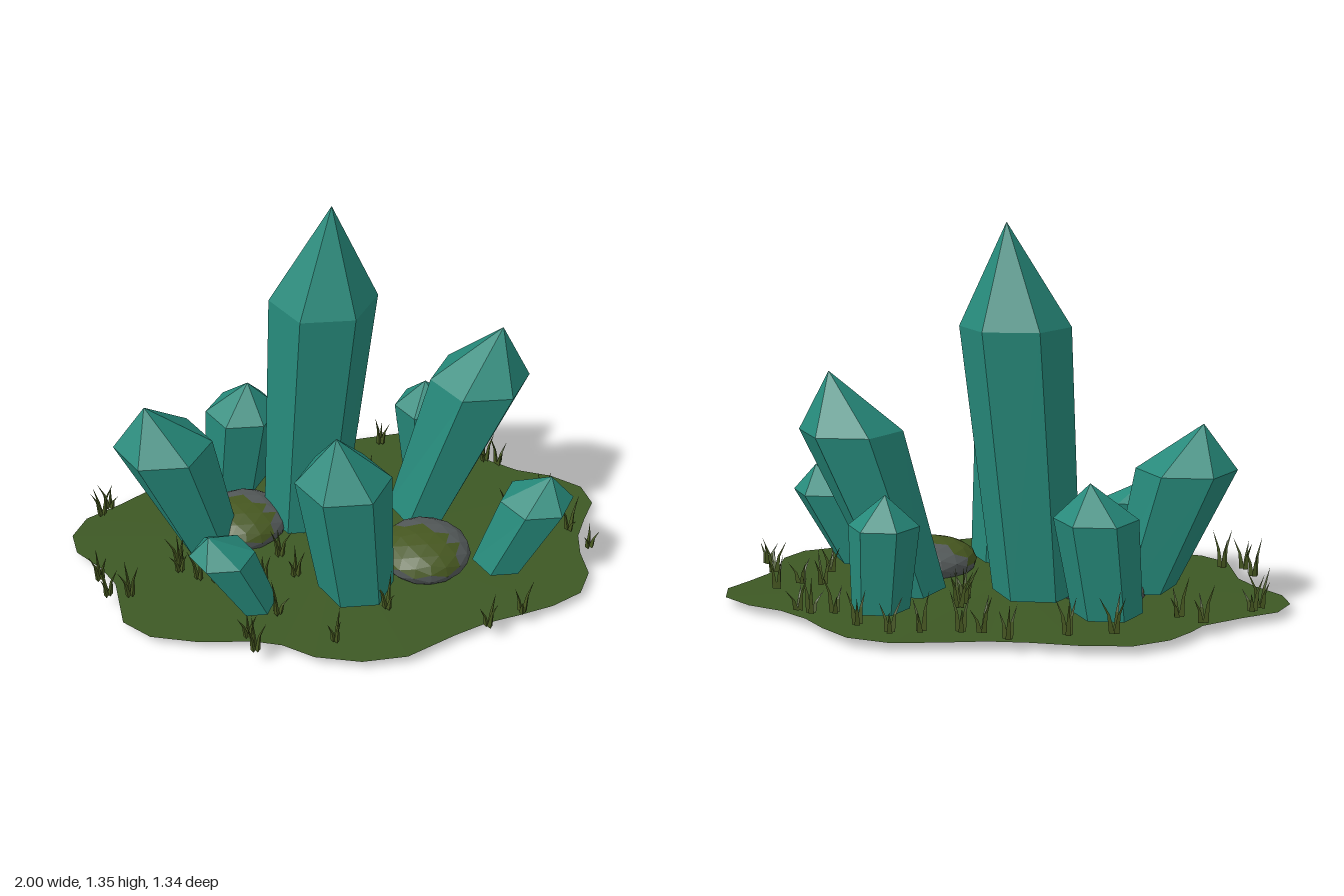
import * as THREE from 'three';
import { mergeGeometries } from 'three/addons/utils/BufferGeometryUtils.js';

const mat = (name, color) => {
  const m = new THREE.MeshStandardMaterial({ color });
  m.name = name;
  return m;
};

// Separate faces so each one shades flat
function faceted(geo) {
  const g = geo.index ? geo.toNonIndexed() : geo;
  g.computeVertexNormals();
  return g;
}

function mesh(name, geo, material) {
  const m = new THREE.Mesh(geo, material);
  m.name = name;
  return m;
}

// Ground outline as x, z pairs, in order around the rim
const OUTLINE = [
  -.46, -.63, -.29, -.64, -.13, -.625, .01, -.625, .16, -.65, .32, -.67, .47, -.63, .57, -.54,
  .645, -.45, .75, -.37, .875, -.32, .98, -.235, 1, -.13, .945, -.03, .90, .065, .885, .165,
  .89, .28, .835, .385, .72, .445, .595, .48, .47, .51, .35, .56, .17, .65, .01, .66,
  -.15, .62, -.255, .55, -.355, .52, -.54, .505, -.71, .46, -.805, .375, -.82, .27, -.835, .165,
  -.89, .07, -.98, -.03, -1, -.13, -.95, -.23, -.825, -.305, -.69, -.40, -.65, -.47, -.58, -.56];

// Shallow mound with a flat underside
function groundGeometry() {
  const pos = [];
  const n = OUTLINE.length / 2;
  for (let i = 0; i < n; i++) {
    const j = (i + 1) % n;
    const a = [OUTLINE[2 * i], .033, OUTLINE[2 * i + 1]];
    const b = [OUTLINE[2 * j], .033, OUTLINE[2 * j + 1]];
    pos.push(0, .055, 0, ...b, ...a, 0, .031, 0, ...a, ...b);
  }
  const g = new THREE.BufferGeometry();
  g.setAttribute('position', new THREE.Float32BufferAttribute(pos, 3));
  return faceted(g);
}

// Six-sided crystal: narrow base, wider shoulder, pointed tip, leaning along x
function crystalGeometry({ z, r, base, baseR, shoulder, tip }) {
  const g = new THREE.CylinderGeometry(0, 1, 1, 6, 2, false, Math.PI / 6);
  const p = g.attributes.position;
  for (let i = 0; i < p.count; i++) {
    const x = p.getX(i), y = p.getY(i), w = p.getZ(i);
    if (y > .25) p.setXYZ(i, tip[0], tip[1], z);
    else if (y > -.25) p.setXYZ(i, shoulder[0] + x * 2 * r, shoulder[1], z + w * 2 * r);
    else p.setXYZ(i, base + x * baseR, .068, z + w * r * .86);
  }
  return faceted(g);
}

const CRYSTALS = [
  { name: 'mainCrystal', z: -.16, r: .193, base: -.115, baseR: .155, shoulder: [-.04, 1], tip: [-.01, 1.355] },
  { name: 'rightLeaningCrystal', z: -.16, r: .184, base: .325, baseR: .12, shoulder: [.535, .63], tip: [.61, .837] },
  { name: 'leftLeaningCrystal', z: -.05, r: .178, base: -.49, baseR: .115, shoulder: [-.633, .49], tip: [-.69, .652] },
  { name: 'frontCrystal', z: .29, r: .169, base: .03, baseR: .137, shoulder: [-.016, .535], tip: [-.04, .71] },
  { name: 'smallFrontRightCrystal', z: .2, r: .133, base: .57, baseR: .1, shoulder: [.693, .328], tip: [.74, .425] },
  { name: 'smallFrontLeftCrystal', z: .34, r: .115, base: -.335, baseR: .075, shoulder: [-.445, .285], tip: [-.49, .36] },
  { name: 'backLeftCrystal', z: -.39, r: .143, base: -.37, baseR: .12, shoulder: [-.33, .39], tip: [-.31, .51] },
  { name: 'backRightCrystal', z: -.41, r: .122, base: .395, baseR: .1, shoulder: [.38, .355], tip: [.375, .46] }];

// Flattened boulder whose faces towards one side are mossy
function rock(name, x, z, r, height, stone, moss) {
  const g = faceted(new THREE.IcosahedronGeometry(1, 2));
  const p = g.attributes.position;
  const mossDir = new THREE.Vector3(-.5, .35, .65).normalize();
  const c = new THREE.Vector3();
  for (let i = 0; i < p.count; i += 3) {
    c.set(0, 0, 0);
    for (let k = 0; k < 3; k++) c.add(new THREE.Vector3().fromBufferAttribute(p, i + k));
    c.normalize();
    g.addGroup(i, 3, c.dot(mossDir) > .22 && c.y > 0 ? 1 : 0);
  }
  g.scale(r, height / 2, r);
  g.computeVertexNormals();
  const m = mesh(name, g, [stone, moss]);
  m.position.set(x, height / 2, z);
  return m;
}

// Tuft positions as x, z pairs
const TUFTS = [
  -.06, -.64, -.25, -.58, .03, -.58, .1, -.58, .23, -.59, .33, -.61, .45, -.54, -.69, -.41,
  -.61, -.36, -.89, -.23, -.86, -.27, .63, -.43, .55, -.42, .68, -.4, .14, -.32, .13, -.27,
  .13, -.22, .81, -.16, .66, -.1, .74, -.09, .87, .04, .92, .15, .66, .06, -.23, .08,
  -.6, .08, -.89, .15, -.86, .24, -.78, .25, -.6, .13, -.53, .18, -.45, .2, -.37, .18,
  -.3, .21, -.44, .14, -.18, .2, -.26, .4, .13, .41, .47, .54, .6, .48, -.07, .56,
  -.35, .58, -.37, .51, .56, .22, .41, -.3, -.47, .2, -.4, -.55];

// Each tuft is three thin leaning blades of different heights
function grassGeometry() {
  let seed = 7;
  const rnd = () => (seed = (seed * 16807) % 2147483647) / 2147483647;
  const blades = [];
  for (let i = 0; i < TUFTS.length; i += 2) {
    const turn = rnd() * Math.PI * 2;
    for (let k = 0; k < 3; k++) {
      const a = turn + k * 2.1 + rnd() * .4;
      const h = .07 + rnd() * .07;
      const lean = .02 + rnd() * .025;
      const g = new THREE.ConeGeometry(.011, h, 3, 2);
      const p = g.attributes.position;
      for (let v = 0; v < p.count; v++) {
        const t = p.getY(v) / h + .5;
        const out = .009 + lean * t * t;
        p.setXYZ(v, p.getX(v) + TUFTS[i] + Math.cos(a) * out, .05 + t * h,
          p.getZ(v) + TUFTS[i + 1] + Math.sin(a) * out);
      }
      blades.push(faceted(g));
    }
  }
  return mergeGeometries(blades);
}

export function createModel() {
  const group = new THREE.Group();
  group.name = 'crystalCluster';
  const crystal = mat('teal crystal', 0x26897a);
  const earth = mat('dark grass green', 0x3d5824);
  const moss = mat('moss green', 0x465720);
  const stone = mat('grey stone', 0x545a5a);

  group.add(mesh('ground', groundGeometry(), earth));
  for (const c of CRYSTALS) group.add(mesh(c.name, crystalGeometry(c), crystal));
  group.add(rock('frontRock', .3, .148, .17, .165, stone, moss));
  group.add(rock('backRock', -.35, -.11, .162, .155, stone, moss));
  group.add(mesh('grassTufts', grassGeometry(), moss));
  return group;
}
